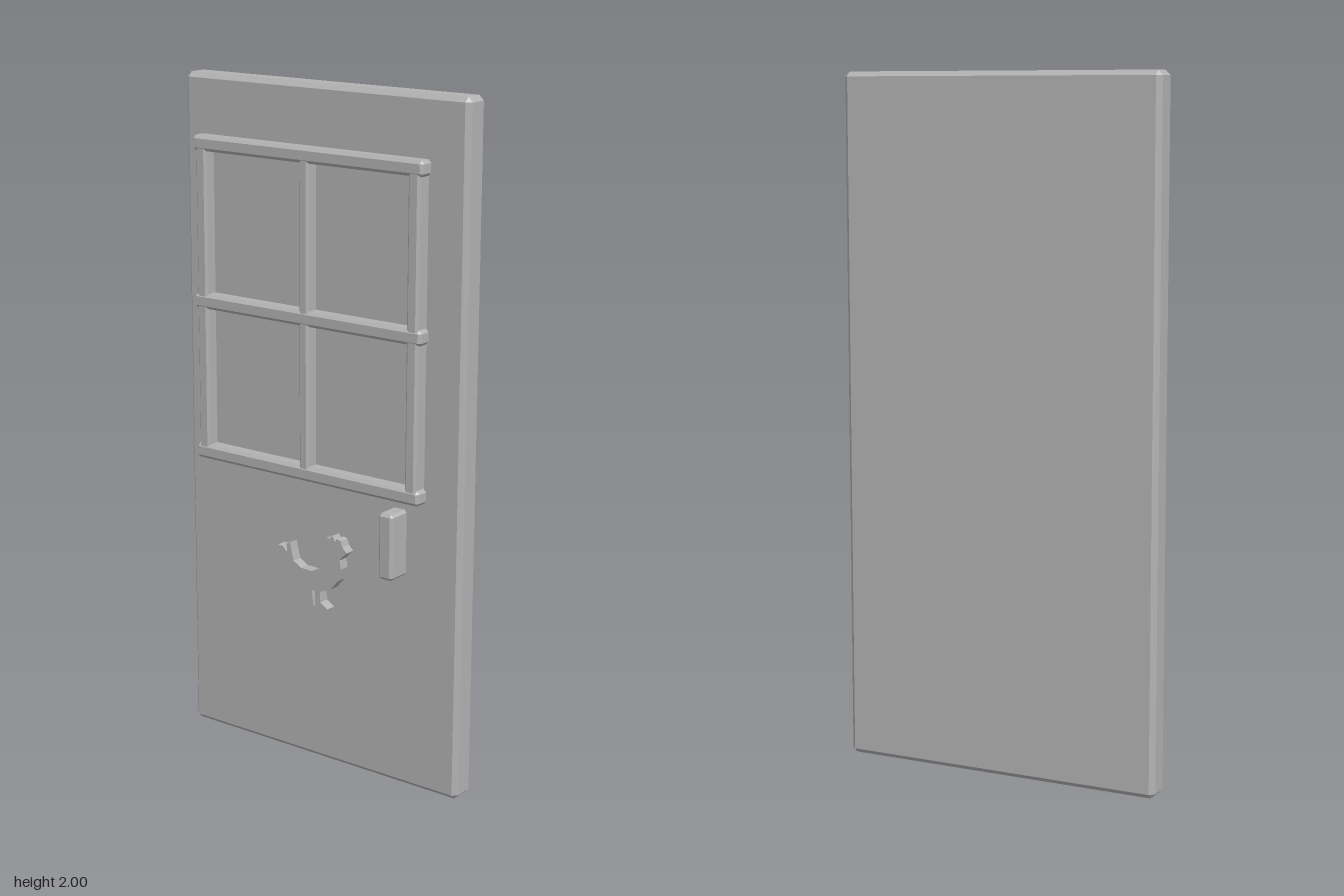
import * as THREE from 'three';
import { ConvexGeometry } from 'three/addons/geometries/ConvexGeometry.js';

const grey = new THREE.MeshStandardMaterial({ color: 0xb2b2b2 });
grey.name = 'plain grey';

// Box between two corners with every edge chamfered by c
function chamferBox(name, [x0, y0, z0], [x1, y1, z1], c) {
  const half = [(x1 - x0) / 2, (y1 - y0) / 2, (z1 - z0) / 2];
  const points = [];
  for (const sx of [-1, 1]) for (const sy of [-1, 1]) for (const sz of [-1, 1]) {
    for (let full = 0; full < 3; full++) {
      const h = half.map((v, i) => (i === full ? v : v - c));
      points.push(new THREE.Vector3(sx * h[0], sy * h[1], sz * h[2]));
    }
  }
  const mesh = new THREE.Mesh(new ConvexGeometry(points), grey);
  mesh.position.set((x0 + x1) / 2, (y0 + y1) / 2, (z0 + z1) / 2);
  mesh.name = name;
  return mesh;
}

// Flat hen silhouette: comb and beak, back, tail, then the two legs
function henOrnament() {
  const outline = [
    [0.12, 0.679], [0.105, 0.695], [0.099, 0.712], [0.085, 0.716], [0.079, 0.706],
    [0.069, 0.722], [0.059, 0.711], [0.047, 0.711], [0.048, 0.69], [0.041, 0.664],
    [0.032, 0.637], [0.02, 0.611], [-0.005, 0.599], [-0.045, 0.6], [-0.072, 0.616],
    [-0.08, 0.645], [-0.085, 0.669], [-0.099, 0.663], [-0.096, 0.637],
    [-0.112, 0.653], [-0.13, 0.654], [-0.122, 0.631], [-0.107, 0.61],
    [-0.106, 0.584], [-0.086, 0.557], [-0.055, 0.541], [-0.022, 0.535],
    [-0.024, 0.507], [-0.042, 0.493], [0, 0.493], [-0.005, 0.54],
    [0.006, 0.541], [0.008, 0.493], [0.052, 0.493], [0.026, 0.509], [0.024, 0.541],
    [0.063, 0.557], [0.09, 0.589], [0.1, 0.626], [0.095, 0.653], [0.104, 0.665],
  ];
  const shape = new THREE.Shape(outline.map(([x, y]) => new THREE.Vector2(x, y)));
  const geometry = new THREE.ExtrudeGeometry(shape, { depth: 0.032, bevelEnabled: false });
  const mesh = new THREE.Mesh(geometry, grey);
  mesh.position.z = -0.026;
  mesh.name = 'henOrnament';
  return mesh;
}

export function createModel() {
  const door = new THREE.Group();
  door.name = 'door';

  door.add(chamferBox('doorSlab', [-0.488, 0, -0.106], [0.488, 2, -0.026], 0.014));
  door.add(chamferBox('windowPane', [-0.365, 0.886, -0.026], [0.365, 1.82, 0.006], 0.003));

  // Window frame: three rails crossing three stiles
  const frame = new THREE.Group();
  frame.name = 'windowFrame';
  for (const y of [0.907, 1.358, 1.814]) {
    frame.add(chamferBox('rail', [-0.398, y - 0.022, 0.006], [0.398, y + 0.022, 0.055], 0.009));
  }
  for (const [x, w] of [[-0.368, 0.019], [0, 0.017], [0.368, 0.019]]) {
    frame.add(chamferBox('stile', [x - w, 0.892, 0.008], [x + w, 1.829, 0.053], 0.007));
  }
  door.add(frame);

  door.add(chamferBox('handle', [0.301, 0.673, 0.029], [0.349, 0.865, 0.106], 0.008));
  door.add(henOrnament());
  return door;
}
